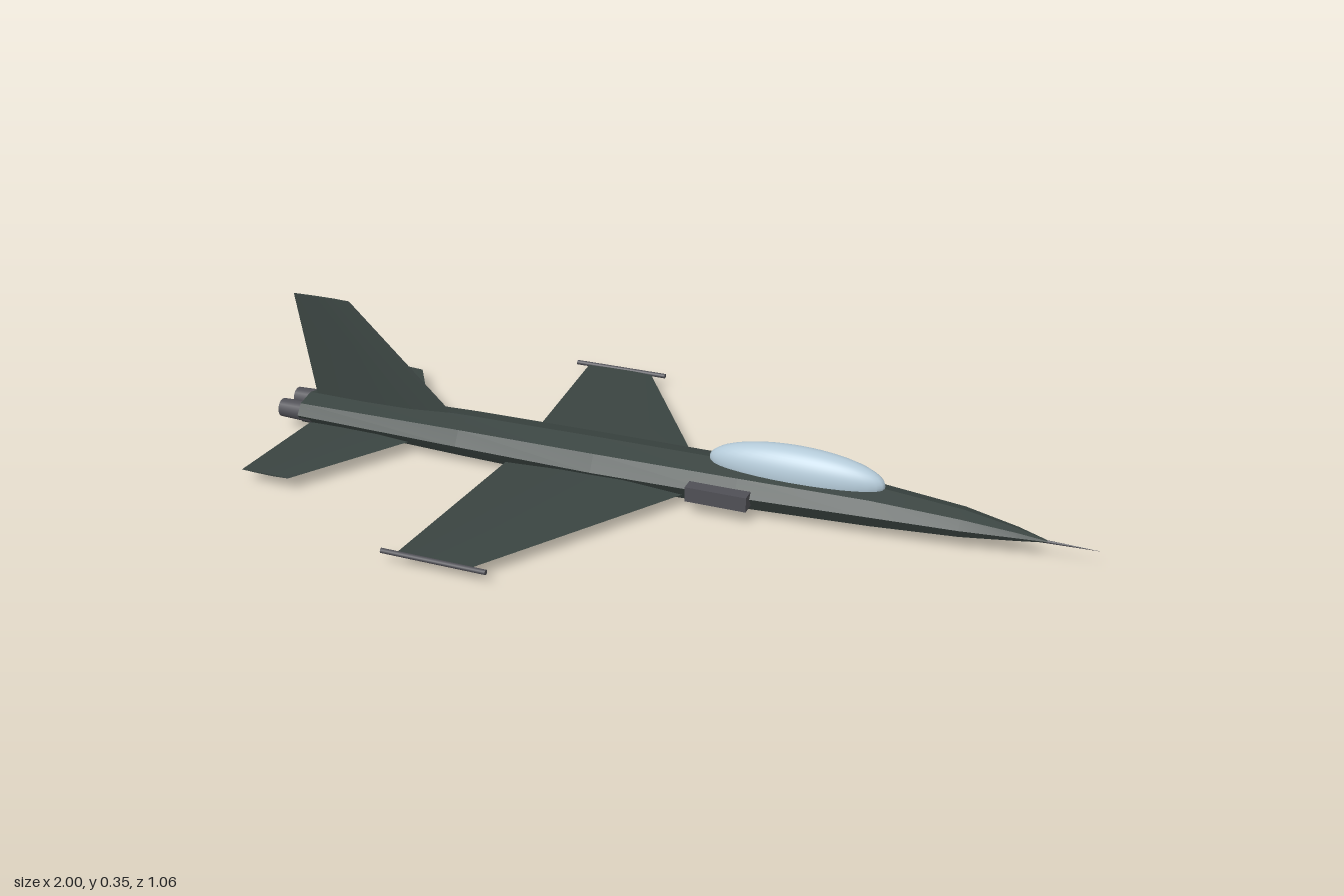
import * as THREE from 'three';
import { toCreasedNormals } from 'three/addons/utils/BufferGeometryUtils.js';

const mat = (name, color) => new THREE.MeshStandardMaterial({ name, color });

// Skin a row of closed rings, cap both ends, and keep the faces outward.
function loft(rings, crease) {
  const n = rings[0].length, pos = rings.flat(2), tris = [];
  for (let r = 0; r < rings.length - 1; r++) {
    for (let i = 0; i < n; i++) {
      const a = r * n + i, b = r * n + (i + 1) % n;
      tris.push([a, b, b + n], [a, b + n, a + n]);
    }
  }
  const end = (rings.length - 1) * n;
  for (let i = 1; i < n - 1; i++) tris.push([0, i + 1, i], [end, end + i, end + i + 1]);
  const p = i => new THREE.Vector3().fromArray(pos, i * 3);
  const volume = tris.reduce((s, [a, b, c]) => s + p(a).dot(p(b).cross(p(c))), 0);
  if (volume < 0) tris.forEach(t => t.reverse());
  const g = new THREE.BufferGeometry();
  g.setAttribute('position', new THREE.Float32BufferAttribute(pos, 3));
  g.setIndex(tris.flat());
  return toCreasedNormals(g, crease);
}

// Thin aerofoil ring: front and rear x, span position, lower and upper thickness.
// place(x, span, offset) turns it into a point.
const foil = (front, rear, span, low, high, place) => {
  const at = (t, h) => place(front + (rear - front) * t, span, h);
  return [at(0, 0), at(0.3, high), at(0.65, high * 0.8), at(1, 0), at(0.65, low * 0.8), at(0.3, low)];
};

export function createModel() {
  const model = new THREE.Group();
  const paint = mat('dark green paint', 0x3a4441);
  const metal = mat('grey metal', 0x505056);
  const glass = mat('pale blue glass', 0xb4cad8);
  const add = (name, geometry, material, x = 0, y = 0, z = 0) => {
    const mesh = new THREE.Mesh(geometry, material);
    mesh.name = name;
    mesh.position.set(x, y, z);
    model.add(mesh);
    return mesh;
  };

  // Fuselage: eight-sided sections as x, bottom, top, half width
  const sections = [
    [-0.94, 0.022, 0.092, 0.066], [-0.5, 0.01, 0.105, 0.077], [-0.15, 0.002, 0.109, 0.079],
    [0.2, 0.007, 0.111, 0.076], [0.5, 0.018, 0.108, 0.063], [0.7, 0.029, 0.09, 0.044],
    [0.82, 0.04, 0.068, 0.02], [0.89, 0.047, 0.05, 0.002],
  ];
  add('fuselage', loft(sections.map(([x, low, high, w]) =>
    Array.from({ length: 8 }, (_, i) => {
      const a = i * Math.PI / 4;
      return [x, (low + high) / 2 + Math.cos(a) * (high - low) / 2, Math.sin(a) * w];
    })), 0.2), paint);

  // Nose probe
  const probe = new THREE.ConeGeometry(0.004, 0.13, 8);
  probe.rotateZ(-Math.PI / 2);
  add('noseProbe', probe, metal, 0.935, 0.048, 0);

  // Canopy bubble
  const canopy = new THREE.SphereGeometry(1, 32, 14, 0, Math.PI * 2, 0, Math.PI * 0.54);
  canopy.scale(0.205, 0.06, 0.047);
  const bubble = add('canopy', canopy, glass, 0.32, 0.112, 0);
  const base = new THREE.CircleGeometry(1, 32);
  base.rotateX(Math.PI / 2);
  base.scale(0.203, 1, 0.0465);
  const floor = new THREE.Mesh(base, glass);
  floor.name = 'canopyBase';
  floor.position.y = -0.0075;
  bubble.add(floor);

  for (const s of [1, -1]) {
    const side = s > 0 ? 'left' : 'right';
    // The bulged face is above on one wing and below on the other
    const flat = y => (x, span, h) => [x, y + s * h, s * span];

    add(side + 'Wing', loft([
      foil(0.1, -0.37, 0.02, -0.003, 0.018, flat(0.034)),
      foil(-0.235, -0.41, 0.522, -0.002, 0.003, flat(0.033)),
    ], 0.5), paint);

    add(side + 'Tailplane', loft([
      foil(-0.61, -0.912, 0.02, -0.002, 0.008, flat(0.037)),
      foil(-0.805, -0.93, 0.324, -0.002, 0.002, flat(0.037)),
    ], 0.5), paint);

    const rail = new THREE.CylinderGeometry(0.006, 0.006, 0.25, 10);
    rail.rotateZ(Math.PI / 2);
    add(side + 'WingtipRail', rail, metal, -0.32, 0.033, s * 0.524);

    add(side + 'Intake', new THREE.BoxGeometry(0.145, 0.036, 0.036), metal, 0.163, 0.057, s * 0.08);

    const nozzle = new THREE.CylinderGeometry(0.023, 0.026, 0.09, 16);
    nozzle.rotateZ(Math.PI / 2);
    add(side + 'Nozzle', nozzle, metal, -0.955, 0.056, s * 0.035);
  }

  // Tail fin
  const upright = (x, span, h) => [x, span, h];
  add('tailFin', loft([
    foil(-0.51, -0.916, 0.07, -0.008, 0.008, upright),
    foil(-0.805, -0.958, 0.355, -0.003, 0.003, upright),
  ], 0.5), paint);

  return model;
}
